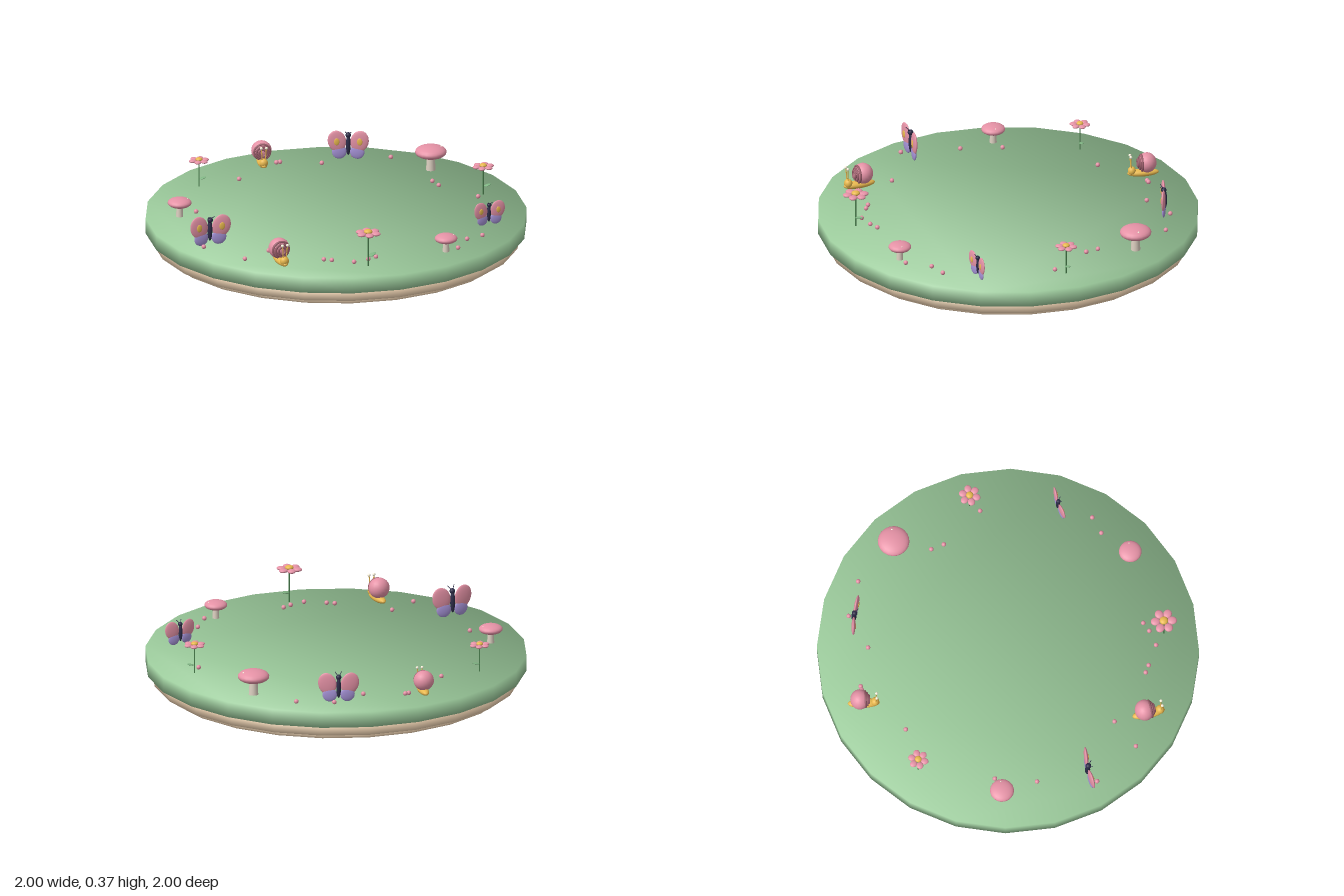
import * as THREE from 'three';

const mat = (color) => new THREE.MeshStandardMaterial({ color });
const M = {
  grass: mat(0x9ccb9c), sand: mat(0xefd3b2), pink: mat(0xe592a6), yellow: mat(0xe8b84e),
  purple: mat(0xa592d6), navy: mat(0x2c2c48), stem: mat(0x4c8250), leaf: mat(0x7fb583),
  stalk: mat(0xdccfc0), ring: mat(0x9c5f6c), white: mat(0xf7f0dc),
};
const GROUND = 0.168;
const ball = new THREE.SphereGeometry(1, 20, 14);

function add(parent, name, geometry, material, x = 0, y = 0, z = 0) {
  const mesh = new THREE.Mesh(geometry, material);
  mesh.name = name;
  mesh.position.set(x, y, z);
  parent.add(mesh);
  return mesh;
}

function blob(parent, name, material, [x, y, z], [rx, ry, rz]) {
  const mesh = add(parent, name, ball, material, x, y, z);
  mesh.scale.set(rx, ry, rz);
  return mesh;
}

function rod(parent, name, material, a, b, r) {
  const path = new THREE.LineCurve3(new THREE.Vector3(...a), new THREE.Vector3(...b));
  return add(parent, name, new THREE.TubeGeometry(path, 1, r, 8), material);
}

// 24-sided slab with softly shaded rims
function slab(parent, name, material, r, y0, y1) {
  const pts = [];
  for (let i = 0; i < 24; i++) {
    const a = (i * Math.PI) / 12;
    pts.push(new THREE.Vector2(r * Math.cos(a), r * Math.sin(a)));
  }
  const g = new THREE.ExtrudeGeometry(new THREE.Shape(pts), { depth: y1 - y0, bevelEnabled: false });
  g.rotateX(-Math.PI / 2).translate(0, y0, 0);
  const p = g.attributes.position;
  const mid = (y0 + y1) / 2;
  const n = new THREE.Vector3();
  for (let i = 0; i < p.count; i++) {
    n.set(p.getX(i) / r, p.getY(i) > mid ? 1 : -1, p.getZ(i) / r).normalize();
    g.attributes.normal.setXYZ(i, n.x, n.y, n.z);
  }
  add(parent, name, g, material);
}

function flower() {
  const g = new THREE.Group();
  rod(g, 'flowerStem', M.stem, [0, 0, 0], [0, 0.155, 0], 0.0035);
  for (let i = 0; i < 6; i++) {
    const a = (i * Math.PI) / 3;
    blob(g, 'petal', M.pink, [0.037 * Math.cos(a), 0.155, 0.037 * Math.sin(a)], [0.021, 0.009, 0.019])
      .rotation.y = -a;
  }
  blob(g, 'flowerCentre', M.yellow, [0, 0.161, 0], [0.019, 0.011, 0.019]);
  blob(g, 'leaf', M.leaf, [0.022, 0.048, 0], [0.021, 0.004, 0.013]).rotation.z = 0.25;
  return g;
}

function mushroom() {
  const g = new THREE.Group();
  add(g, 'mushroomStalk', new THREE.CylinderGeometry(0.015, 0.019, 0.075, 16), M.stalk, 0, 0.0375, 0);
  blob(g, 'mushroomCap', M.pink, [0, 0.076, 0], [0.063, 0.026, 0.063]);
  blob(g, 'capSpot', M.white, [0.042, 0.094, 0.004], [0.004, 0.003, 0.004]);
  return g;
}

function butterfly() {
  const g = new THREE.Group();
  blob(g, 'butterflyBody', M.navy, [0, 0.083, 0], [0.013, 0.06, 0.014]);
  blob(g, 'butterflyHead', M.navy, [0, 0.14, 0.004], [0.015, 0.015, 0.015]);
  for (const s of [1, -1]) {
    // Each pair of wings is swept slightly forward
    const wing = new THREE.Group();
    wing.name = 'wing';
    wing.rotation.y = -s * 0.1;
    blob(wing, 'upperWing', M.pink, [s * 0.062, 0.104, 0], [0.05, 0.062, 0.011]).rotation.z = -s * 0.25;
    blob(wing, 'lowerWing', M.purple, [s * 0.049, 0.042, -0.001], [0.04, 0.04, 0.01]);
    blob(wing, 'wingSpot', M.yellow, [s * 0.064, 0.104, 0.011], [0.015, 0.021, 0.004]);
    g.add(wing);
    rod(g, 'antenna', M.navy, [s * 0.005, 0.148, 0.008], [s * 0.018, 0.166, 0.024], 0.002);
  }
  return g;
}

function snail() {
  const g = new THREE.Group();
  blob(g, 'snailFoot', M.yellow, [0, 0.021, 0.004], [0.028, 0.021, 0.088]);
  blob(g, 'snailHead', M.yellow, [0, 0.036, 0.066], [0.024, 0.025, 0.022]);
  blob(g, 'shell', M.pink, [0, 0.08, -0.018], [0.056, 0.055, 0.052]);
  // Shell whorls, shrinking towards the front
  [[0.043, 0.012], [0.032, 0.022], [0.02, 0.031]].forEach(([r, z]) =>
    add(g, 'shellWhorl', new THREE.TorusGeometry(r, 0.007, 8, 28), M.ring, 0, 0.08, z));
  for (const s of [1, -1]) {
    rod(g, 'eyeStalk', M.yellow, [s * 0.008, 0.05, 0.07], [s * 0.014, 0.122, 0.074], 0.003);
    blob(g, 'eye', M.white, [s * 0.014, 0.124, 0.074], [0.008, 0.008, 0.008]);
  }
  return g;
}

export function createModel() {
  const model = new THREE.Group();
  model.name = 'gardenPlate';
  slab(model, 'lowerBase', M.sand, 0.92, 0, 0.03);
  slab(model, 'upperBase', M.sand, 0.965, 0.03, 0.085);
  slab(model, 'grassTop', M.grass, 1, 0.085, GROUND);

  // Eleven decorations in an even ring: maker, name, scale, turn
  const ring = [
    [flower, 'flower', 1, 0], [butterfly, 'butterfly', 0.79, 0.09], [mushroom, 'mushroom', 0.95, 0],
    [flower, 'flower', 1.18, 0.35], [snail, 'snail', 1, 0], [butterfly, 'butterfly', 1, -0.02],
    [mushroom, 'mushroom', 1, 0], [flower, 'flower', 0.94, 0], [snail, 'snail', 0.96, -0.2],
    [butterfly, 'butterfly', 0.96, -0.38], [mushroom, 'mushroom', 1.32, 0],
  ];
  ring.forEach(([make, name, scale, turn], i) => {
    const a = (i * 2 * Math.PI) / ring.length;
    const item = make();
    item.name = name;
    item.position.set(0.82 * Math.cos(a), GROUND, 0.82 * Math.sin(a));
    item.scale.setScalar(scale);
    item.rotation.y = turn;
    model.add(item);
  });

  // Scattered pebbles
  const pebbles = [
    [-0.04, -0.8], [-0.02, -0.8], [-0.31, -0.63], [0.18, -0.71], [0.375, -0.765], [0.55, -0.67],
    [0.63, -0.255], [0.64, -0.185], [0.775, 0.045], [0.595, 0.605], [0.5, 0.63], [0.41, 0.74],
    [-0.04, 0.72], [-0.09, 0.74], [-0.175, 0.755], [-0.275, 0.69], [-0.31, 0.665], [-0.535, 0.44],
    [-0.695, 0.515], [-0.835, 0.27], [-0.76, -0.035], [-0.69, -0.245],
  ];
  for (const [x, z] of pebbles) blob(model, 'pebble', M.pink, [x, GROUND + 0.01, z], [0.012, 0.012, 0.012]);
  return model;
}
